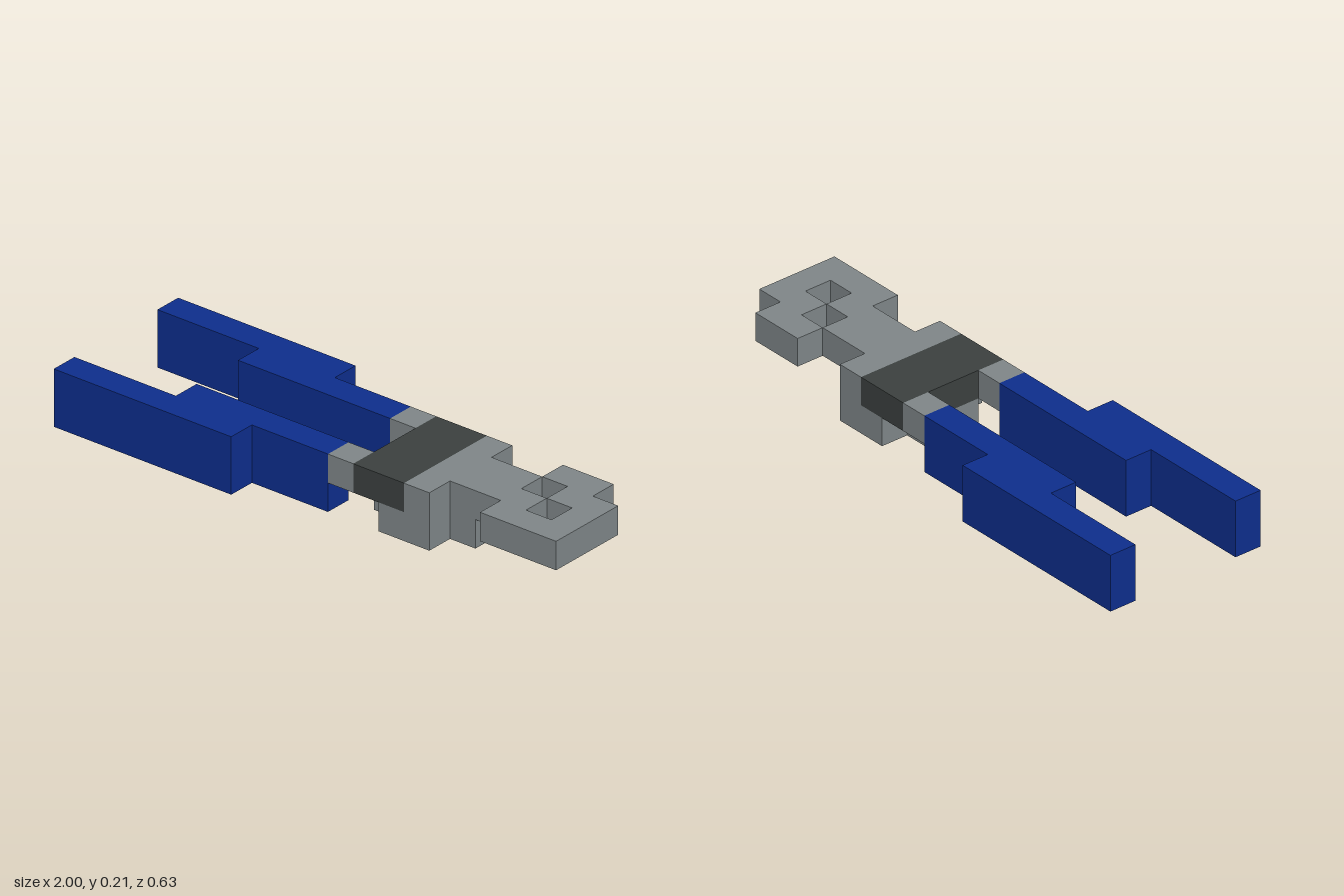
import * as THREE from 'three';

const U = 2 / 19; // one grid cell

const mat = (name, color) => {
  const m = new THREE.MeshStandardMaterial({ color });
  m.name = name;
  return m;
};

// Extrude a stepped plan outline, given in cells [x from the tail, z], between two cell heights.
function slab(name, material, outline, y0, y1) {
  const pts = outline.map(([x, z]) => new THREE.Vector2(x * U - 1, -z * U));
  const geo = new THREE.ExtrudeGeometry(new THREE.Shape(pts), { depth: (y1 - y0) * U, bevelEnabled: false });
  geo.rotateX(-Math.PI / 2).translate(0, y0 * U, 0);
  const mesh = new THREE.Mesh(geo, material);
  mesh.name = name;
  return mesh;
}

const rect = (x0, x1, z0, z1) => [[x0, z0], [x0, z1], [x1, z1], [x1, z0]];

export function createModel() {
  const model = new THREE.Group();
  model.name = 'twinEngineShip';
  const blue = mat('engineBlue', 0x0d2d8b);
  const grey = mat('hullGrey', 0x7e8587);
  const dark = mat('darkGrey', 0x3b403f);

  // Stepped engine and its strut, mirrored to both sides
  for (const [side, s] of [['front', 1], ['back', -1]]) {
    const engine = [[0, 2], [0, 3], [7, 3], [7, 2], [10, 2], [10, 1], [4, 1], [4, 2]];
    model.add(slab(side + 'Engine', blue, engine.map(([x, z]) => [x, z * s]), 0, 2));
    model.add(slab(side + 'Strut', grey, rect(10, 11, s, 2 * s), 1, 2));
  }

  // Dark band across the hull
  model.add(slab('crossBand', dark, rect(11, 13, -2, 2), 1, 2));

  // Shoulders, neck and the head with its notch
  model.add(slab('hull', grey, [
    [13, -2], [13, 2], [14, 2], [14, 1], [16, 1], [16, 2], [19, 2], [19, 0],
    [18, 0], [18, 1], [17, 1], [17, 0], [16, 0], [16, -1], [14, -1], [14, -2],
  ], 1, 2));

  // Rear half of the head
  model.add(slab('headRear', grey, [
    [17, 0], [19, 0], [19, -1], [18, -1], [18, -2], [16, -2], [16, -1], [17, -1],
  ], 1, 2));

  // Plus-shaped keel under the hull
  model.add(slab('keel', grey, [
    [11, -1], [11, 1], [12, 1], [12, 2], [14, 2], [14, 1],
    [15, 1], [15, -1], [14, -1], [14, -2], [12, -2], [12, -1],
  ], 0, 1));

  return model;
}
